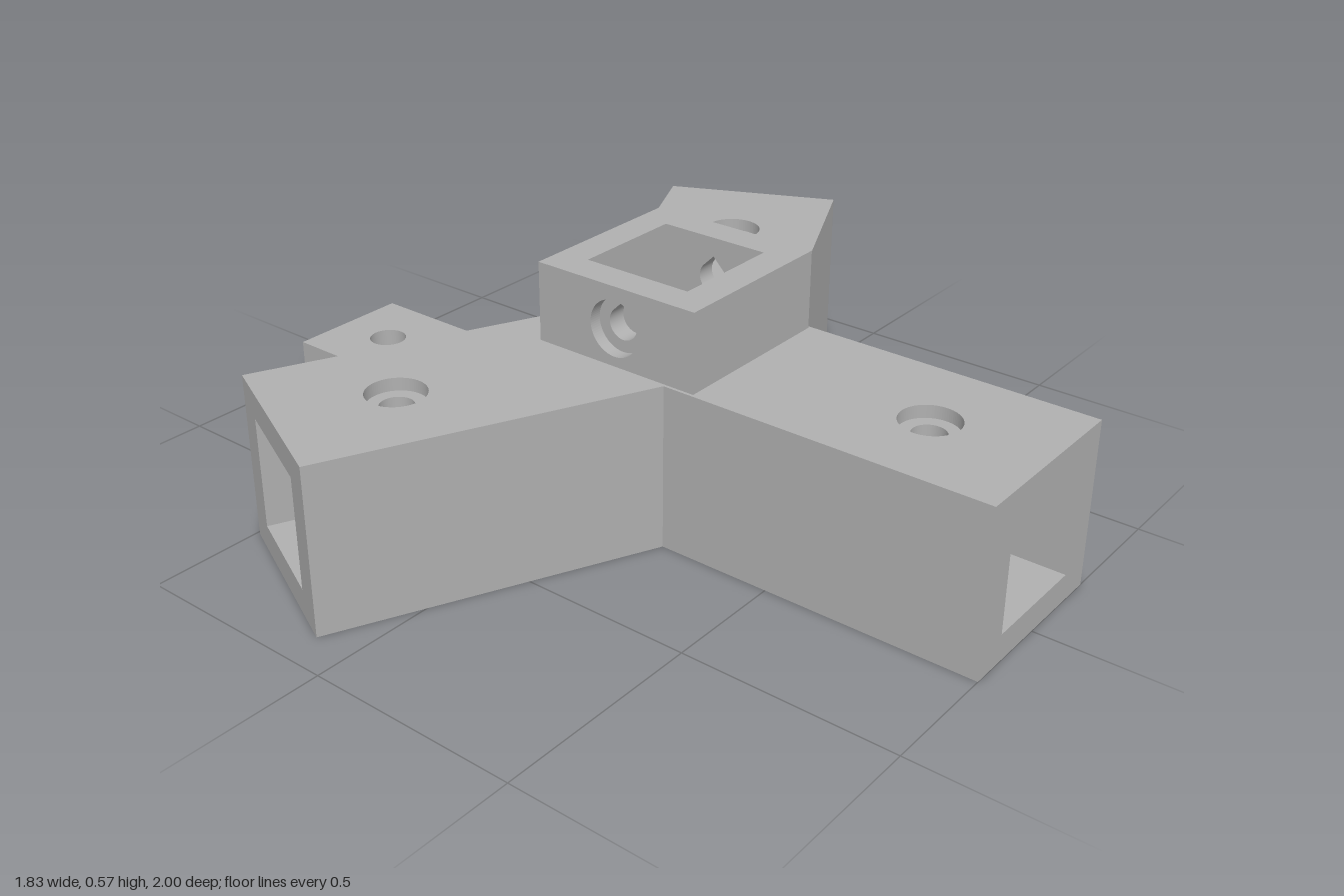
import * as THREE from 'three';

const BODY_H = 0.39, WALL = 0.065;      // hub height, floor/lid thickness
const ARM = 0.91, HALF = 0.217;         // arm length from hub axis, half width
const BORE = 0.135, BORE_END = 0.31;    // socket half width, inner end of a socket
const HUB = 0.09;                       // z of the hub axis
const ANGLES = [-90, 25, 155].map(THREE.MathUtils.degToRad);

// Plan shapes use (x, -z), so extrusions turn upright with one rotation.
const center = new THREE.Vector2(0, -HUB);
const polar = (a, along, side = 0) => new THREE.Vector2(
  center.x + Math.cos(a) * along - Math.sin(a) * side,
  center.y + Math.sin(a) * along + Math.cos(a) * side);

function circle(p, r) {
  return new THREE.Path().absarc(p.x, p.y, r, 0, Math.PI * 2, true);
}

function square(p, h) {
  return new THREE.Path([[-h, -h], [-h, h], [h, h], [h, -h]]
    .map(([x, y]) => new THREE.Vector2(p.x + x, p.y + y)));
}

// Circle with a pointed top
function teardrop(p, r) {
  const path = new THREE.Path();
  path.absarc(p.x, p.y, r, Math.PI * 0.75, Math.PI * 0.25, false);
  path.lineTo(p.x, p.y + r * Math.SQRT2);
  path.closePath();
  return path;
}

// Outline of the three arms, optionally with the sockets cut in from the ends
function hubShape(sockets, screwRadius) {
  const pts = [];
  ANGLES.forEach((a, i) => {
    pts.push(polar(a, ARM, -HALF));
    if (sockets) {
      pts.push(polar(a, ARM, -BORE), polar(a, BORE_END, -BORE),
        polar(a, BORE_END, BORE), polar(a, ARM, BORE));
    }
    pts.push(polar(a, ARM, HALF));
    const next = i < 2 ? ANGLES[i + 1] : ANGLES[0] + Math.PI * 2;
    const half = (next - a) / 2;
    pts.push(polar(a + half, HALF / Math.sin(half)));
  });
  const shape = new THREE.Shape(pts);
  shape.holes.push(square(center, BORE));
  if (screwRadius) ANGLES.forEach(a => shape.holes.push(circle(polar(a, 0.645), screwRadius)));
  return shape;
}

export function createModel() {
  const group = new THREE.Group();
  const grey = new THREE.MeshStandardMaterial({ color: 0xb0b0b0 });
  grey.name = 'grey plastic';

  const extrude = (shape, depth) =>
    new THREE.ExtrudeGeometry(shape, { depth, bevelEnabled: false, curveSegments: 40 });
  const add = (name, geometry) => {
    const mesh = new THREE.Mesh(geometry, grey);
    mesh.name = name;
    group.add(mesh);
    return mesh;
  };
  const slab = (name, shape, y0, y1) =>
    add(name, extrude(shape, y1 - y0).rotateX(-Math.PI / 2).translate(0, y0, 0));

  // Three-armed hub, stacked so sockets and counterbored screw holes stay open
  const step = BODY_H - 0.03;
  slab('hubFloor', hubShape(false, 0), 0, WALL);
  slab('hubWalls', hubShape(true, 0), WALL, BODY_H - WALL);
  slab('hubLid', hubShape(false, 0.038), BODY_H - WALL, step);
  slab('hubTop', hubShape(false, 0.067), step, BODY_H);

  // Flat rear tab with a through hole and a shallow round recess
  const crotch = 0.149, tabHalf = 0.157;
  const shoulder = crotch + tabHalf * Math.tan(ANGLES[1]);
  const tabShape = recess => {
    const shape = new THREE.Shape([[0, crotch], [tabHalf, shoulder], [tabHalf, 1],
      [-tabHalf, 1], [-tabHalf, shoulder]].map(p => new THREE.Vector2(...p)));
    shape.holes.push(circle(new THREE.Vector2(0, 0.85), 0.046));
    if (recess) shape.holes.push(circle(new THREE.Vector2(0, 0.43), 0.104));
    return shape;
  };
  slab('tabBase', tabShape(false), 0, 0.07);
  slab('tabTop', tabShape(true), 0.07, 0.102);

  // Square collar around the vertical socket
  const top = 0.575, outer = 0.21, collarH = top - BODY_H;
  for (const s of [1, -1]) {
    add(s > 0 ? 'collarFront' : 'collarBack',
      new THREE.BoxGeometry(BORE * 2, collarH, outer - BORE)
        .translate(0, BODY_H + collarH / 2, HUB + s * (outer + BORE) / 2));
  }

  // Collar sides: teardrop screw hole inside, round counterbore outside
  const sideShape = hole => {
    const shape = new THREE.Shape([[-outer, BODY_H], [outer, BODY_H], [outer, top], [-outer, top]]
      .map(p => new THREE.Vector2(...p)));
    shape.holes.push(hole);
    return shape;
  };
  const holeAt = new THREE.Vector2(0, 0.478);
  for (const s of [1, -1]) {
    const side = s > 0 ? 'Left' : 'Right';
    const place = (name, hole, from, to) => add(name,
      extrude(sideShape(hole), to - from).translate(0, 0, from)
        .rotateY(s * Math.PI / 2).translate(0, 0, HUB));
    place('collarInner' + side, teardrop(holeAt, 0.037), BORE, outer - 0.03);
    place('collarOuter' + side, circle(holeAt, 0.065), outer - 0.03, outer);
  }
  return group;
}
